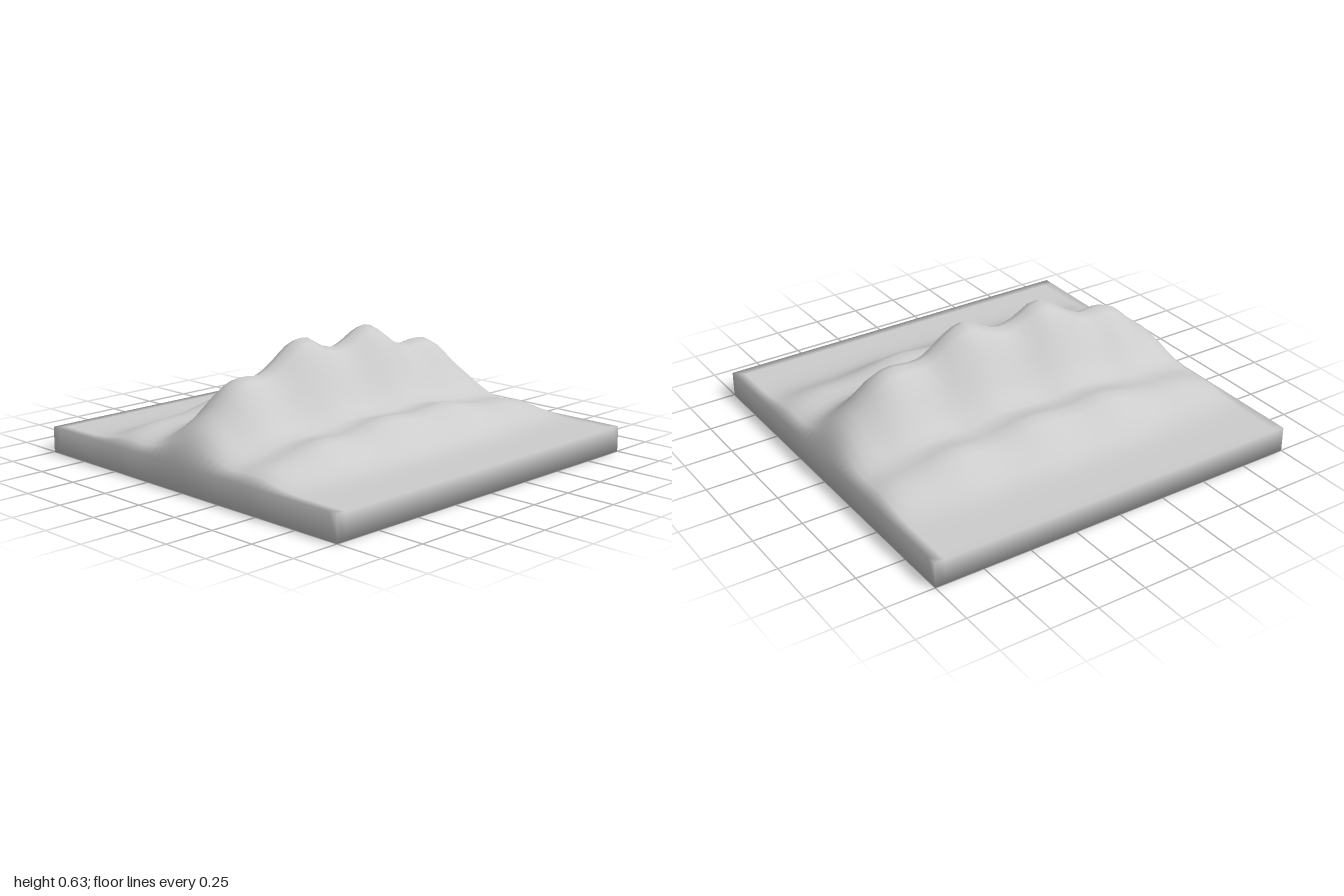
import * as THREE from 'three';

const N = 40;          // cells per side
const SLAB = 0.13;     // slab thickness

// Smooth curve through [x, height] points
function profile(points) {
  const curve = new THREE.CubicInterpolant(points.map(p => p[0]), points.map(p => p[1]), 1, new Float32Array(1));
  return x => Math.max(0, curve.evaluate(x)[0]);
}

// Crest heights above the slab, along x
const ridge = profile([
  [-1, 0], [-0.95, 0.105], [-0.8, 0.24], [-0.7, 0.33], [-0.62, 0.355], [-0.5, 0.35], [-0.4, 0.4],
  [-0.3, 0.47], [-0.22, 0.49], [-0.1, 0.43], [0, 0.413], [0.1, 0.45], [0.2, 0.495], [0.3, 0.455],
  [0.42, 0.37], [0.5, 0.36], [0.62, 0.37], [0.7, 0.34], [0.8, 0.25], [0.95, 0.105], [1, 0],
]);
const foothill = profile([
  [-1, 0], [-0.95, 0.035], [-0.75, 0.075], [-0.55, 0.115], [-0.35, 0.1], [-0.12, 0.142],
  [0.12, 0.122], [0.32, 0.138], [0.6, 0.085], [0.8, 0.075], [0.95, 0.033], [1, 0],
]);
const bell = (d, s) => Math.exp(-d * d / (2 * s * s));

// Central mountain ridge with a lower hill line on each side
function height(x, z) {
  const along = z >= 0 ? x : -x;
  return SLAB + ridge(x) * bell(z, 0.165) + foothill(along) * bell(Math.abs(z) - 0.46, 0.105);
}

function terrainGeometry() {
  const positions = [], index = [];
  const at = (i, j) => j * (N + 1) + i;
  const coord = i => -1 + 2 * i / N;

  // Terrain surface
  for (let j = 0; j <= N; j++) {
    for (let i = 0; i <= N; i++) positions.push(coord(i), height(coord(i), coord(j)), coord(j));
  }
  for (let j = 0; j < N; j++) {
    for (let i = 0; i < N; i++) {
      const a = at(i, j), b = at(i + 1, j), c = at(i, j + 1), d = at(i + 1, j + 1);
      index.push(a, c, d, a, d, b);
    }
  }

  // Rim of the slab, starting from the front left corner
  const rim = [];
  for (let k = 0; k < N; k++) rim.push(at(N, N - k));
  for (let k = 0; k < N; k++) rim.push(at(N - k, 0));
  for (let k = 0; k < N; k++) rim.push(at(0, k));
  for (let k = 0; k < N; k++) rim.push(at(k, N));
  const base = positions.length / 3, count = rim.length;
  rim.forEach(v => positions.push(positions[v * 3], 0, positions[v * 3 + 2]));

  // Side walls
  for (let k = 0; k < count; k++) {
    const n = (k + 1) % count;
    index.push(rim[k], base + k, base + n, rim[k], base + n, rim[n]);
  }
  // Underside fan
  for (let k = N; k < 3 * N; k++) index.push(base, base + k + 1, base + k);

  const geometry = new THREE.BufferGeometry();
  geometry.setAttribute('position', new THREE.Float32BufferAttribute(positions, 3));
  geometry.setIndex(index);
  geometry.computeVertexNormals();

  // Soft lower edge all the way round
  const normals = geometry.attributes.normal, v = new THREE.Vector3();
  for (let k = 0; k < count; k++) {
    const x = positions[(base + k) * 3], z = positions[(base + k) * 3 + 2];
    v.set(Math.abs(x) > 0.999 ? x : 0, -2, Math.abs(z) > 0.999 ? z : 0).normalize();
    normals.setXYZ(base + k, v.x, v.y, v.z);
  }
  return geometry;
}

export function createModel() {
  const model = new THREE.Group();
  model.name = 'mountainTerrain';
  const stone = new THREE.MeshStandardMaterial({ color: 0xcccccc });
  stone.name = 'lightGrey';
  const terrain = new THREE.Mesh(terrainGeometry(), stone);
  terrain.name = 'terrainSlab';
  model.add(terrain);
  return model;
}
